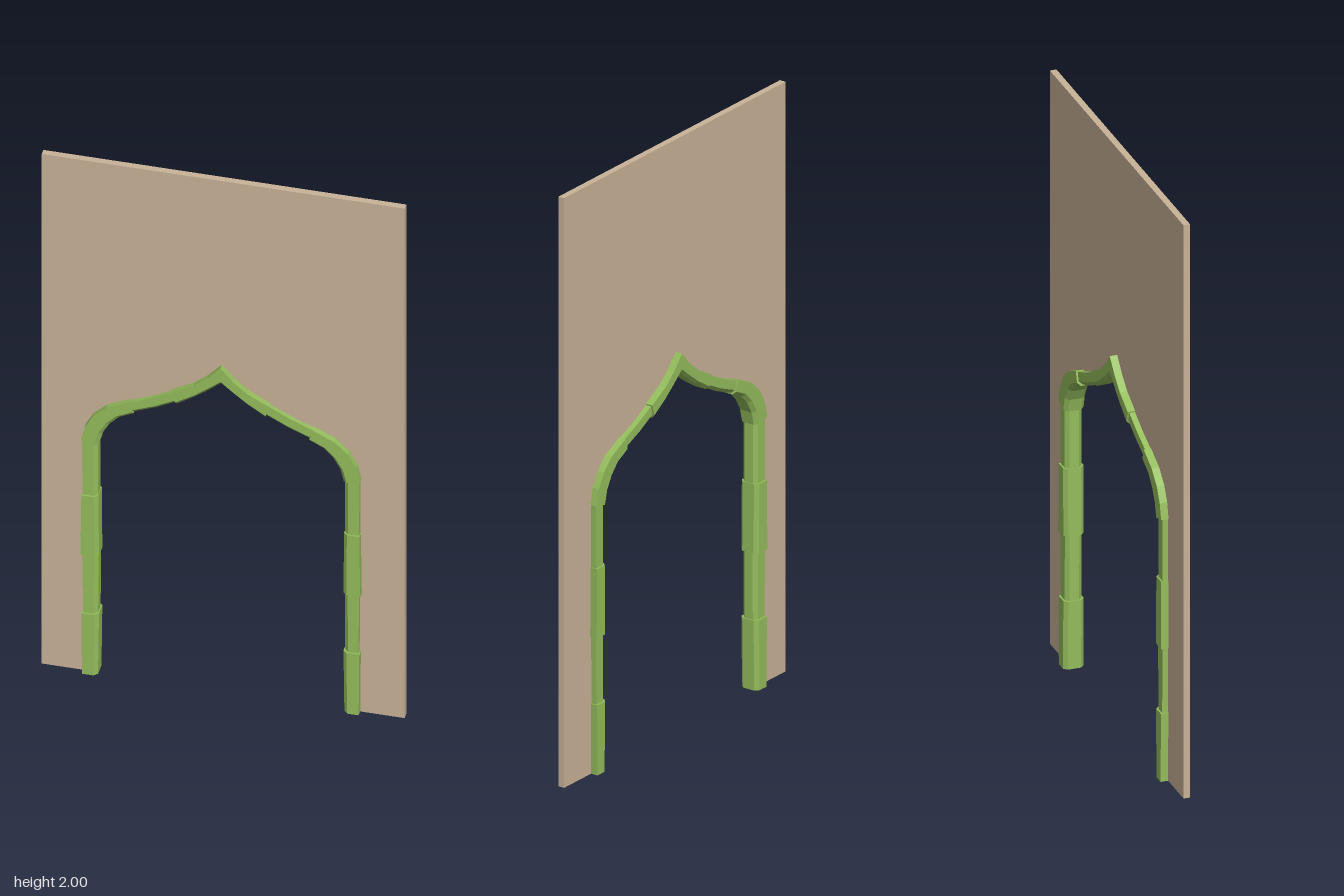
import * as THREE from 'three';

// Stations up one side of the arch: [outerX, outerY, innerX, innerY]
const SEGMENTS = [
  { name: 'lowerPost', depth: 0.034, stations: [[0.446, 0, 0.397, 0], [0.448, 0.238, 0.394, 0.238]] },
  { name: 'middlePost', depth: 0.028, stations: [[0.444, 0.238, 0.398, 0.238], [0.446, 0.465, 0.397, 0.465]] },
  { name: 'upperPost', depth: 0.034, stations: [[0.451, 0.465, 0.394, 0.465], [0.448, 0.7, 0.396, 0.7]] },
  { name: 'topPost', depth: 0.028, stations: [[0.446, 0.7, 0.398, 0.7], [0.447, 0.912, 0.398, 0.905]] },
  { name: 'shoulder', depth: 0.034, stations: [
    [0.45, 0.915, 0.395, 0.902], [0.438, 0.968, 0.384, 0.947], [0.412, 1.016, 0.36, 0.989],
    [0.368, 1.057, 0.33, 1.02], [0.297, 1.091, 0.283, 1.043]] },
  { name: 'haunch', depth: 0.028, stations: [
    [0.297, 1.087, 0.283, 1.047], [0.225, 1.117, 0.21, 1.077], [0.155, 1.153, 0.143, 1.112]] },
  { name: 'crown', depth: 0.034, stations: [
    [0.157, 1.157, 0.143, 1.108], [0.088, 1.194, 0.085, 1.146], [0.042, 1.233, 0.04, 1.181], [0, 1.28, 0, 1.215]] },
];
const TRIM_X = -0.004, TRIM_Z = -0.002;

// Stone with bevelled inner edges, lofted through its stations
function stoneGeometry({ depth: d, stations }, side) {
  const bevel = 0.012;
  const rings = stations.map(([ox, oy, ix, iy]) => {
    const f = bevel / Math.hypot(ox - ix, oy - iy);
    const bx = ix + (ox - ix) * f, by = iy + (oy - iy) * f;
    return [[ox, oy, d], [bx, by, d], [ix, iy, d - bevel],
      [ix, iy, bevel - d], [bx, by, -d], [ox, oy, -d]];
  });
  const pos = [];
  const tri = (a, b, c) => {
    for (const p of side > 0 ? [a, b, c] : [a, c, b]) pos.push(p[0] * side, p[1], p[2]);
  };
  const n = 6, last = rings.length - 1;
  for (let k = 0; k < last; k++) {
    for (let j = 0; j < n; j++) {
      const a = rings[k][j], b = rings[k][(j + 1) % n];
      const c = rings[k + 1][(j + 1) % n], e = rings[k + 1][j];
      tri(a, e, c);
      tri(a, c, b);
    }
  }
  for (let j = 1; j < n - 1; j++) {
    tri(rings[0][0], rings[0][j], rings[0][j + 1]);
    tri(rings[last][0], rings[last][j + 1], rings[last][j]);
  }
  const g = new THREE.BufferGeometry();
  g.setAttribute('position', new THREE.Float32BufferAttribute(pos, 3));
  g.computeVertexNormals();
  return g;
}

export function createModel() {
  const model = new THREE.Group();
  model.name = 'archedWall';
  const plaster = new THREE.MeshStandardMaterial({ color: 0xc9b298 });
  plaster.name = 'tan plaster';
  const green = new THREE.MeshStandardMaterial({ color: 0x94bd5c });
  green.name = 'green stone';

  // Wall panel, cut along the middle of the trim
  const half = SEGMENTS.flatMap(s => s.stations)
    .map(([ox, oy, ix, iy]) => [(ox + ix) / 2, (oy + iy) / 2])
    .filter((p, i, all) => i === 0 || Math.hypot(p[0] - all[i - 1][0], p[1] - all[i - 1][1]) > 0.01);
  const outline = [[0.585, 0], [0.585, 2], [-0.585, 2], [-0.585, 0]];
  const leftEdge = half.map(([x, y]) => [TRIM_X - x, y]);
  const rightEdge = half.slice(0, -1).reverse().map(([x, y]) => [TRIM_X + x, y]);
  const shape = new THREE.Shape([...outline, ...leftEdge, ...rightEdge].map(p => new THREE.Vector2(...p)));
  const wallGeometry = new THREE.ExtrudeGeometry(shape, { depth: 0.022, bevelEnabled: false });
  wallGeometry.translate(0, 0, -0.011);
  const wall = new THREE.Mesh(wallGeometry, plaster);
  wall.name = 'wall';
  model.add(wall);

  // Mirrored arch stones
  const trim = new THREE.Group();
  trim.name = 'archTrim';
  trim.position.set(TRIM_X, 0, TRIM_Z);
  for (const [side, label] of [[1, 'left'], [-1, 'right']]) {
    for (const segment of SEGMENTS) {
      const stone = new THREE.Mesh(stoneGeometry(segment, side), green);
      stone.name = label + segment.name[0].toUpperCase() + segment.name.slice(1);
      trim.add(stone);
    }
  }
  model.add(trim);
  return model;
}
